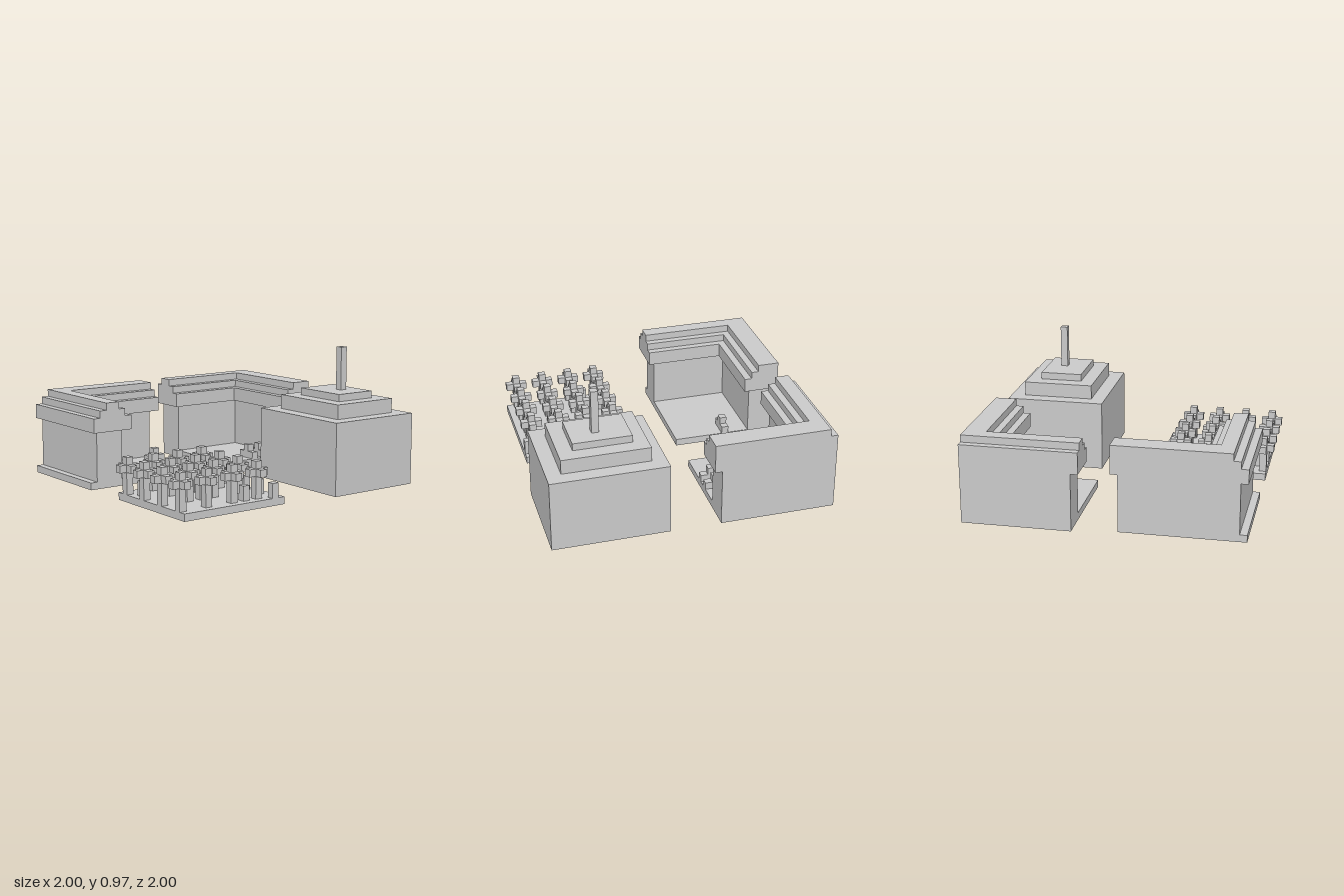
import * as THREE from 'three';

// Everything sits on a grid of 39 x 39 cells
const U = 2 / 39;
const material = new THREE.MeshStandardMaterial({ color: 0xcccccc, flatShading: true });

// Box spanning grid ranges [from, to] on each axis
function block(parent, name, [x0, x1], [y0, y1], [z0, z1]) {
  const geometry = new THREE.BoxGeometry((x1 - x0) * U, (y1 - y0) * U, (z1 - z0) * U);
  const mesh = new THREE.Mesh(geometry, material);
  mesh.name = name;
  mesh.position.set(-1 + (x0 + x1) / 2 * U, (y0 + y1) / 2 * U, -1 + (z0 + z1) / 2 * U);
  parent.add(mesh);
  return mesh;
}

function group(parent, name) {
  const g = new THREE.Group();
  g.name = name;
  parent.add(g);
  return g;
}

// Tall block with two setbacks and a mast
function buildTower(root) {
  const tower = group(root, 'tower');
  block(tower, 'towerBody', [23, 39], [0, 10], [0, 14]);
  block(tower, 'lowerSetback', [25, 37], [10, 12], [2, 12]);
  block(tower, 'upperSetback', [27, 35], [12, 13], [4, 10]);
  block(tower, 'mast', [31, 32], [13, 19], [6, 7]);
}

// L-shaped building at the back
function buildBackCorner(root) {
  const corner = group(root, 'backCornerBuilding');
  block(corner, 'floor', [0, 16], [0, 1], [0, 15]);
  block(corner, 'backWall', [0, 16], [1, 8], [0, 4]);
  block(corner, 'sideWall', [0, 4], [1, 8], [4, 15]);
  // Cornice layers: outer x, inner edge, bottom, top
  for (const [x0, inner, y0, y1] of [[0, 5, 8, 10], [0, 4, 10, 11], [1, 3, 11, 12]]) {
    block(corner, 'backCornice', [x0, 17], [y0, y1], [0, inner]);
    block(corner, 'sideCornice', [x0, inner], [y0, y1], [inner, 16]);
  }
  // Two benches with a raised middle
  for (const z of [7, 9]) {
    [1, 2, 1].forEach((h, i) => block(corner, 'bench', [13 + i, 14 + i], [1, 1 + h], [z, z + 1]));
  }
}

// L-shaped building at the front, cornice overhanging its front wall
function buildFrontCorner(root) {
  const corner = group(root, 'frontCornerBuilding');
  block(corner, 'floor', [1, 16], [0, 1], [21, 38]);
  block(corner, 'frontWall', [1, 16], [1, 8], [33, 37]);
  block(corner, 'sideWall', [1, 5], [1, 8], [21, 33]);
  // Cornice layers: side inner edge, front depth range, bottom, top
  for (const [inner, z0, z1, y0, y1] of [[6, 32, 38, 8, 10], [5, 33, 37, 10, 11], [4, 34, 36, 11, 12]]) {
    block(corner, 'frontCornice', [1, 17], [y0, y1], [z0, z1]);
    block(corner, 'sideCornice', [1, inner], [y0, y1], [20, z0]);
  }
  [1, 2, 1].forEach((h, i) => block(corner, 'bench', [8, 9], [1, 1 + h], [21 + i, 22 + i]));
}

// Planted square with a grid of trees and scattered posts
function buildGrove(root) {
  const grove = group(root, 'grove');
  block(grove, 'ground', [23, 38], [0, 1], [22, 38]);
  for (const x of [24, 28, 32, 36]) {
    for (const z of [25, 29, 33, 37]) {
      const tree = group(grove, 'tree');
      block(tree, 'trunk', [x, x + 1], [1, 6], [z, z + 1]);
      for (const s of [-1, 1]) {
        block(tree, 'leaves', [x + s, x + s + 1], [4, 5], [z, z + 1]);
        block(tree, 'leaves', [x, x + 1], [4, 5], [z + s, z + s + 1]);
      }
    }
  }
  const posts = [[24, 23], [26, 23], [31, 23], [34, 23], [37, 23], [27, 27],
    [36, 27], [27, 31], [32, 31], [26, 36], [23, 29]];
  for (const [x, z] of posts) block(grove, 'post', [x, x + 1], [1, 3], [z, z + 1]);
}

export function createModel() {
  const root = new THREE.Group();
  root.name = 'cityBlocks';
  buildTower(root);
  buildBackCorner(root);
  buildFrontCorner(root);
  buildGrove(root);
  return root;
}
